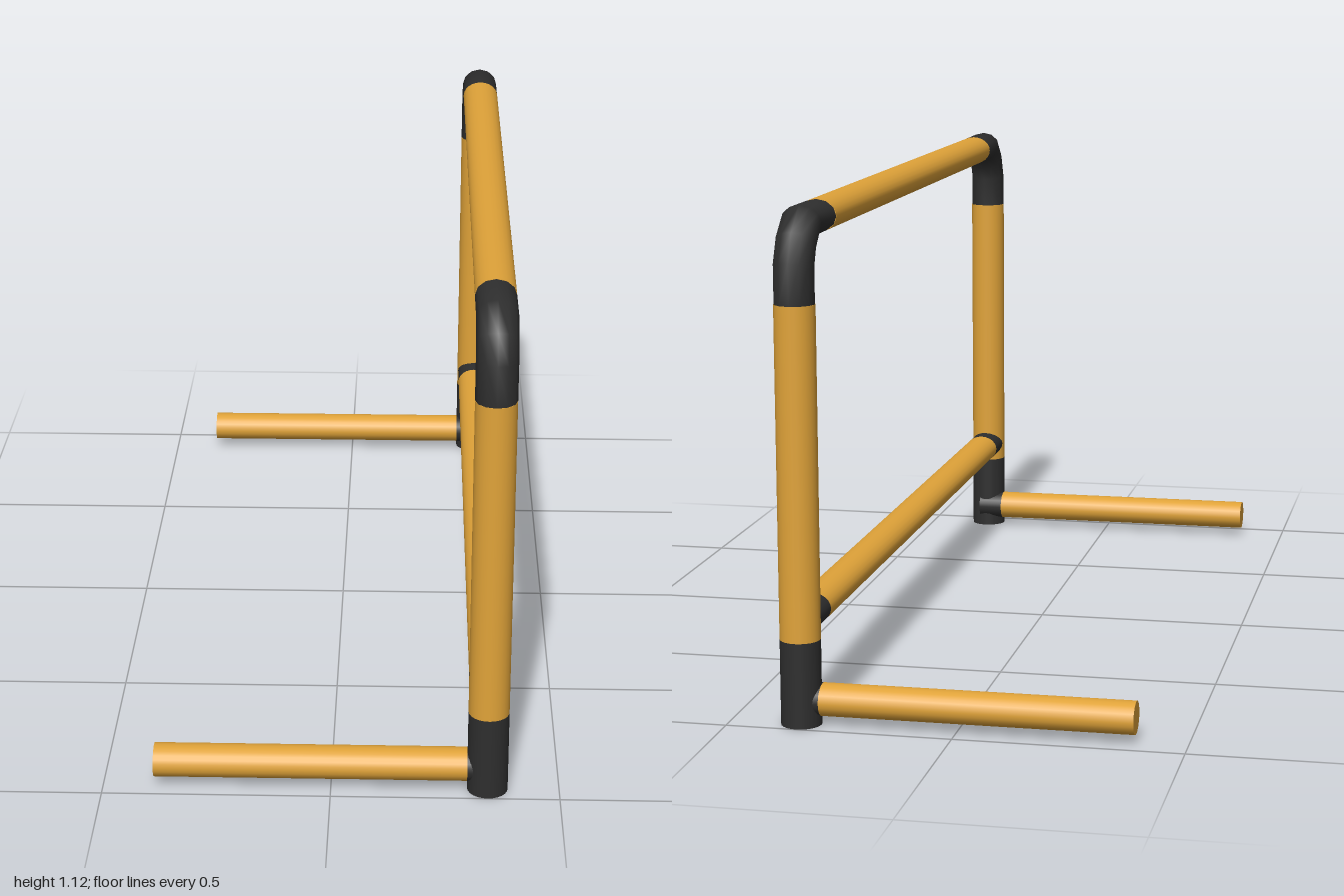
import * as THREE from 'three';

export function createModel() {
  const group = new THREE.Group();
  const gold = new THREE.MeshStandardMaterial({ color: 0xe0a339 });
  const black = new THREE.MeshStandardMaterial({ color: 0x2e2e2e });
  gold.name = 'golden tube';
  black.name = 'black fitting';

  const postX = 0.343, postZ = 0.955, postR = 0.0445;
  const topY = 1.084, topR = 0.036;

  // Straight pipe along an axis; a and b are the two cross-section radii
  function pipe(name, material, axis, from, to, centre, a, b) {
    const geo = new THREE.CylinderGeometry(1, 1, to - from, 24);
    const mid = (from + to) / 2;
    if (axis === 'x') geo.rotateZ(-Math.PI / 2).scale(1, a, b).translate(mid, centre[0], centre[1]);
    if (axis === 'y') geo.scale(a, 1, b).translate(centre[0], mid, centre[1]);
    if (axis === 'z') geo.rotateX(Math.PI / 2).scale(a, b, 1).translate(centre[0], centre[1], mid);
    const mesh = new THREE.Mesh(geo, material);
    mesh.name = name;
    group.add(mesh);
  }

  // Mitred elbow lofted through a path in the y-z plane
  function elbowGeometry(side) {
    const path = [[0.955, 0.918], [0.955, 1.0], [0.935, 1.046], [0.893, topY], [0.777, topY]]
      .map(([z, y]) => new THREE.Vector2(z, y));
    const radii = [postR, postR, 0.042, 0.037, topR];
    const sides = 12, positions = [], index = [];
    path.forEach((p, i) => {
      const before = path[Math.max(i - 1, 0)], after = path[Math.min(i + 1, path.length - 1)];
      const d1 = (i ? p.clone().sub(before) : after.clone().sub(p)).normalize();
      const d2 = (i < path.length - 1 ? after.clone().sub(p) : d1.clone()).normalize();
      const t = d1.clone().add(d2).normalize();
      const r = radii[i] / t.dot(d1);
      for (let k = 0; k < sides; k++) {
        const a = (k / sides) * Math.PI * 2;
        const out = Math.cos(a) * r;
        positions.push(postX + Math.sin(a) * postR, p.y - t.x * out, side * (p.x + t.y * out));
      }
    });
    for (let i = 0; i < path.length - 1; i++) {
      for (let k = 0; k < sides; k++) {
        const a = i * sides + k, b = i * sides + (k + 1) % sides;
        const c = a + sides, d = b + sides;
        if (side > 0) index.push(a, b, c, b, d, c);
        else index.push(a, c, b, b, c, d);
      }
    }
    const geo = new THREE.BufferGeometry();
    geo.setAttribute('position', new THREE.Float32BufferAttribute(positions, 3));
    geo.setIndex(index);
    geo.computeVertexNormals();
    return geo;
  }

  // Crossbars
  pipe('topBar', gold, 'z', -0.778, 0.778, [postX, topY], postR, topR);
  pipe('lowerRail', gold, 'z', -0.86, 0.86, [postX, 0.233], 0.0425, 0.0345);

  // Mirrored uprights, feet and fittings
  for (const side of [1, -1]) {
    const z = side * postZ, footZ = side * 0.944;
    pipe('footSleeve', black, 'y', 0, 0.19, [postX, z], postR, postR);
    pipe('upright', gold, 'y', 0.19, 0.918, [postX, z], postR, postR);
    pipe('foot', gold, 'x', -0.388, 0.298, [0.054, footZ], 0.036, 0.041);
    pipe('footSocket', black, 'x', 0.298, 0.36, [0.054, footZ], 0.036, 0.041);
    const [near, far] = side > 0 ? [0.86, postZ] : [-postZ, -0.86];
    pipe('railSocket', black, 'z', near, far, [postX, 0.233], 0.0425, 0.0345);

    const elbow = new THREE.Mesh(elbowGeometry(side), black);
    elbow.name = 'cornerElbow';
    group.add(elbow);
  }
  return group;
}
